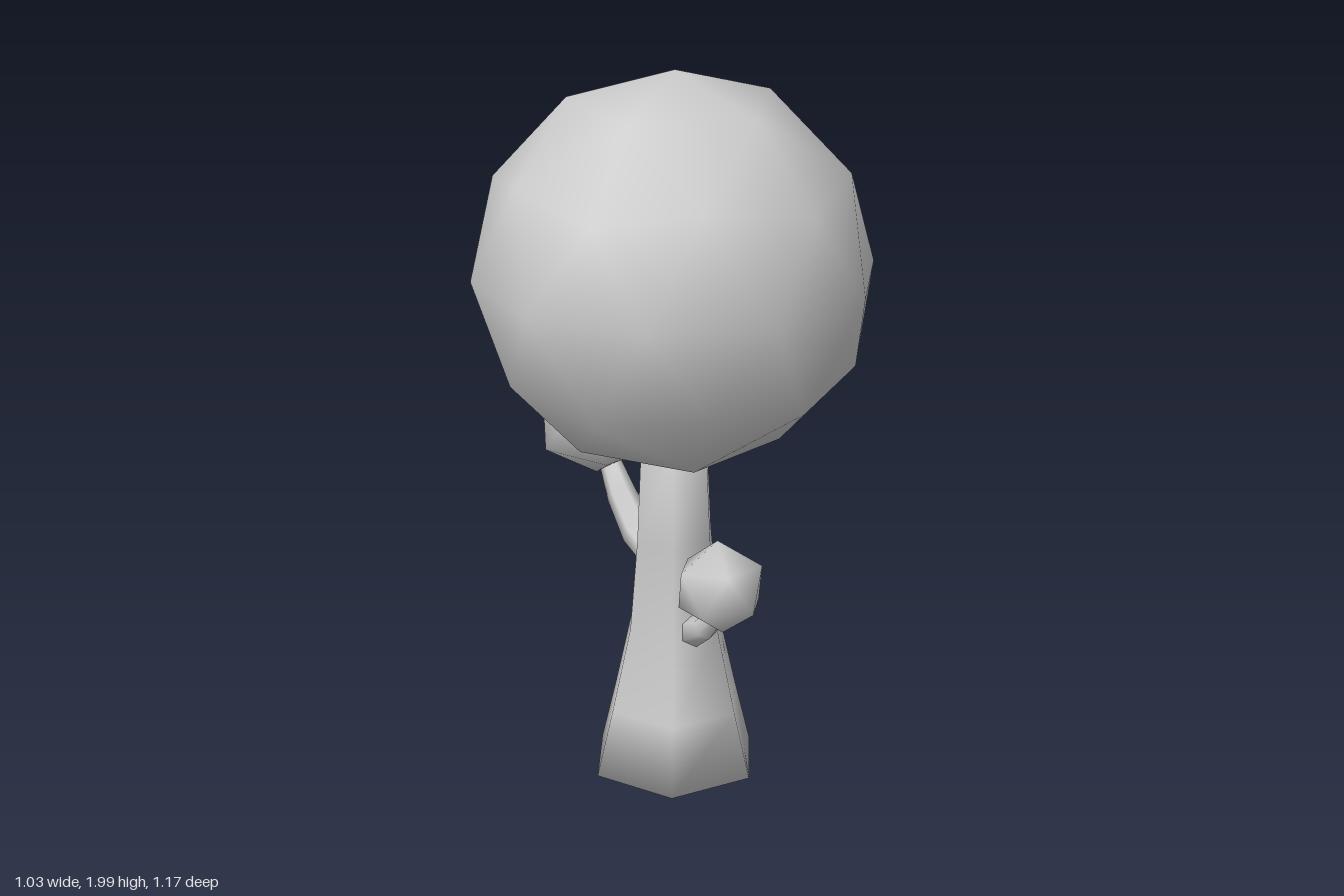
import * as THREE from 'three';

const grey = new THREE.MeshStandardMaterial({ color: 0xcccccc });
grey.name = 'plain grey';

// Capped six-sided limb along a path in the yz plane; stations are [y, z, radius]
function limb(name, stations, turn, startDent = 0) {
  const sides = 6, pos = [], idx = [];
  const pts = stations.map(([y, z]) => new THREE.Vector3(0, y, z));
  const X = new THREE.Vector3(1, 0, 0);
  const n = pts.length;
  const tangent = i => pts[Math.min(i + 1, n - 1)].clone().sub(pts[Math.max(i - 1, 0)]).normalize();
  pts.forEach((p, i) => {
    const N = tangent(i).cross(X);
    const r = stations[i][2];
    for (let j = 0; j < sides; j++) {
      const a = turn + j / sides * Math.PI * 2;
      const v = p.clone().addScaledVector(X, r * Math.cos(a)).addScaledVector(N, r * Math.sin(a));
      pos.push(v.x, v.y, v.z);
    }
  });
  const start = n * sides, end = start + 1;
  const s = pts[0].clone().addScaledVector(tangent(0), startDent);
  pos.push(s.x, s.y, s.z, ...pts[n - 1].toArray());
  for (let j = 0; j < sides; j++) {
    const k = (j + 1) % sides, last = (n - 1) * sides;
    for (let i = 0; i < n - 1; i++) {
      const a = i * sides + j, b = i * sides + k;
      idx.push(a, b, b + sides, a, b + sides, a + sides);
    }
    idx.push(start, k, j, end, last + j, last + k);
  }
  const geo = new THREE.BufferGeometry();
  geo.setAttribute('position', new THREE.Float32BufferAttribute(pos, 3));
  geo.setIndex(idx);
  geo.computeVertexNormals();
  const mesh = new THREE.Mesh(geo, grey);
  mesh.name = name;
  return mesh;
}

// Smooth-shaded icosphere standing on one of its corners
function foliage(name, radius, detail, side, tilt, position) {
  const geo = new THREE.IcosahedronGeometry(radius, detail);
  const p = geo.attributes.position, v = new THREE.Vector3();
  for (let i = 0; i < p.count; i++) {
    v.fromBufferAttribute(p, i).normalize();
    geo.attributes.normal.setXYZ(i, v.x, v.y, v.z);
  }
  geo.rotateZ(-side * Math.atan(2 / (1 + Math.sqrt(5))));
  geo.rotateX(tilt);
  const mesh = new THREE.Mesh(geo, grey);
  mesh.name = name;
  mesh.position.set(...position);
  return mesh;
}

export function createModel() {
  const tree = new THREE.Group();
  tree.name = 'tree';
  tree.add(
    // Flared trunk with a hollowed underside
    limb('trunk', [
      [0.01, 0.045, 0.245], [0.2, 0.045, 0.196], [0.44, 0.045, 0.139],
      [0.7, 0.043, 0.115], [0.97, 0.042, 0.102],
    ], 0, 0.04),
    // Curved side branches
    limb('backBranch', [
      [0.595, -0.04, 0.05], [0.625, -0.17, 0.05], [0.7, -0.275, 0.043], [0.8, -0.37, 0.028],
    ], Math.PI / 6),
    limb('frontBranch', [
      [0.44, 0.13, 0.05], [0.495, 0.225, 0.036], [0.585, 0.315, 0.024],
    ], Math.PI / 6),
    // Leaf balls
    foliage('crown', 0.543, 1, 1, 0, [0, 1.457, 0.043]),
    foliage('backLeafBall', 0.187, 0, 1, 0.09, [0, 0.9, -0.416]),
    foliage('frontLeafBall', 0.129, 0, -1, -0.12, [-0.015, 0.658, 0.329]),
  );
  return tree;
}
